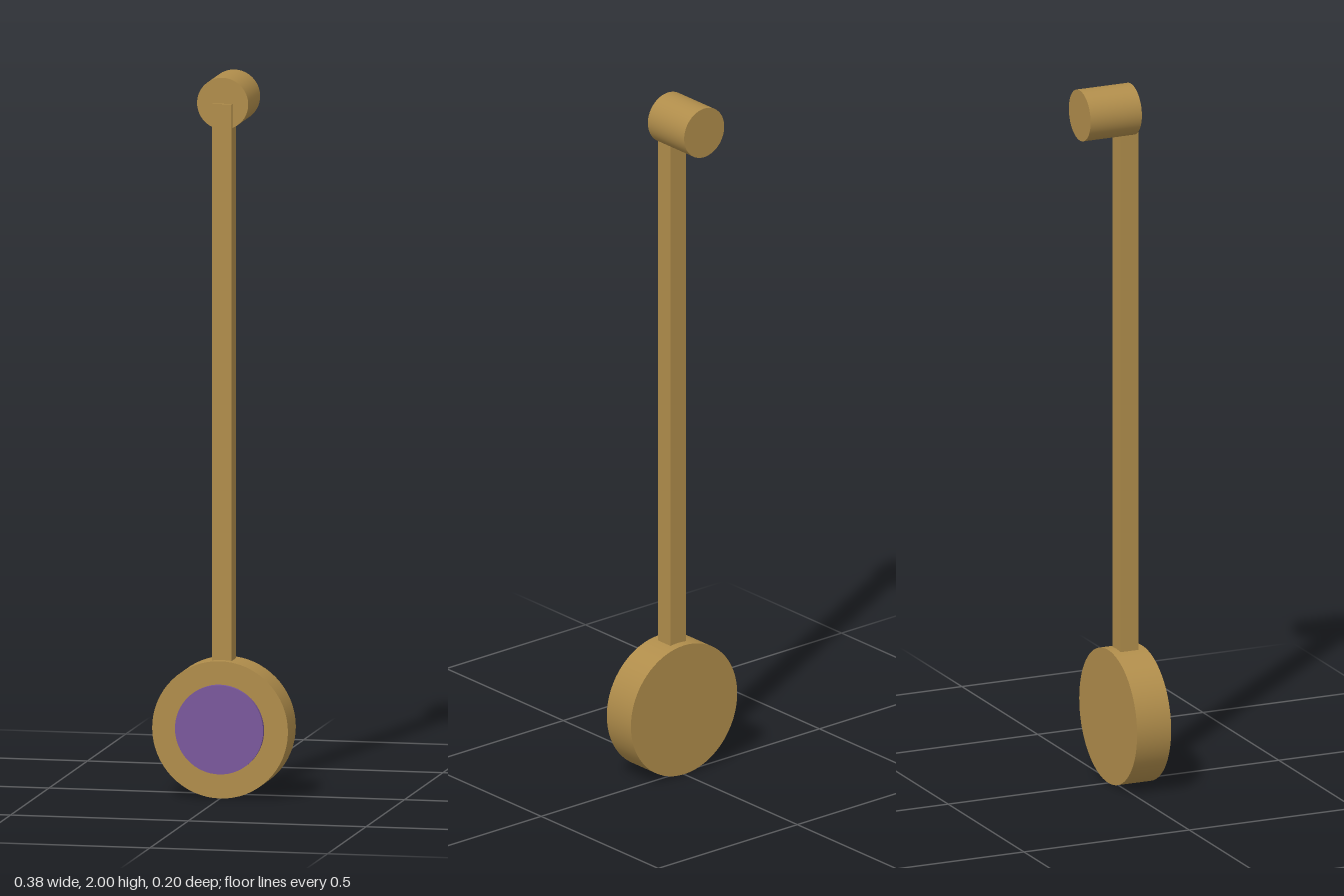
import * as THREE from 'three';

export function createModel() {
  const group = new THREE.Group();
  const brass = new THREE.MeshStandardMaterial({ color: 0xb08d4b });
  const purple = new THREE.MeshStandardMaterial({ color: 0x7a589c });

  // Disc whose axis runs along z, between two depths
  function disc(name, radius, y, zBack, zFront, material) {
    const geometry = new THREE.CylinderGeometry(radius, radius, zFront - zBack, 64);
    geometry.rotateX(Math.PI / 2);
    const mesh = new THREE.Mesh(geometry, material);
    mesh.name = name;
    mesh.position.set(0, y, (zBack + zFront) / 2);
    group.add(mesh);
  }

  const pivotY = 1.928;
  const bobY = 0.191;

  // Pivot at the top
  disc('pivot', 0.072, pivotY, -0.102, 0.053, brass);

  // Square rod from the pivot centre to the bob centre
  const rod = new THREE.Mesh(new THREE.BoxGeometry(0.055, pivotY - bobY, 0.054), brass);
  rod.name = 'rod';
  rod.position.set(0, (pivotY + bobY) / 2, 0.036);
  group.add(rod);

  // Heavy bob with a coloured disc set into its front
  disc('bob', 0.191, bobY, -0.016, 0.087, brass);
  disc('bobInlay', 0.124, bobY + 0.002, 0.06, 0.1, purple);

  return group;
}
